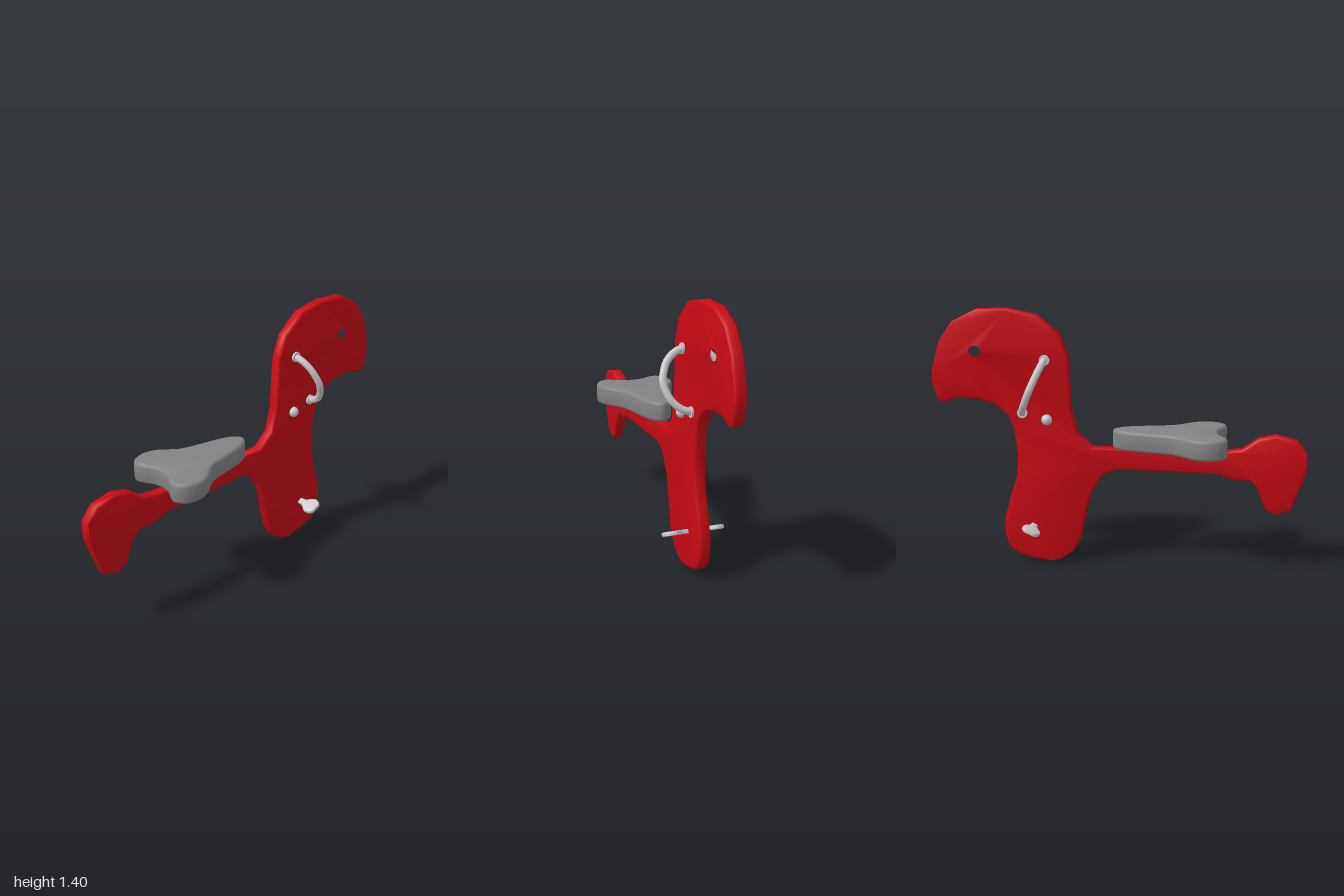
import * as THREE from 'three';
import { toCreasedNormals } from 'three/addons/utils/BufferGeometryUtils.js';

const red = new THREE.MeshStandardMaterial({ color: 0xc80a14 });
const darkGrey = new THREE.MeshStandardMaterial({ color: 0x848484 });
const grey = new THREE.MeshStandardMaterial({ color: 0xcccccc });

const toPoints = (pairs) => pairs.map(([x, y]) => new THREE.Vector2(x, y));

// Slab centred on its thickness, with rounded edges kept inside the outline
function slab(shape, thickness, bevel, segments, crease) {
  const depth = thickness - 2 * bevel;
  const geo = new THREE.ExtrudeGeometry(shape, {
    depth, curveSegments: 8, bevelThickness: bevel, bevelSize: bevel,
    bevelOffset: -bevel, bevelSegments: segments,
  });
  geo.translate(0, 0, -depth / 2);
  return toCreasedNormals(geo, crease);
}

// Closed smooth outline mirrored about y = 0 from its upper half
function mirroredShape(half, divisions) {
  const lower = half.filter(([, y]) => y !== 0).reverse().map(([x, y]) => [x, -y]);
  const curve = new THREE.CatmullRomCurve3(
    [...half, ...lower].map(([x, y]) => new THREE.Vector3(x, y, 0)), true);
  const pts = curve.getPoints(divisions).slice(0, -1);
  return new THREE.Shape(pts.map((p) => new THREE.Vector2(p.x, p.y)));
}

export function createModel() {
  const model = new THREE.Group();
  function add(name, geo, material, parent = model) {
    const mesh = new THREE.Mesh(geo, material);
    mesh.name = name;
    parent.add(mesh);
    return mesh;
  }

  // Flat animal-shaped board: tail, beam, neck, head, chest and foot
  const board = new THREE.Shape(toPoints([
    [-1, 0.66], [-0.94, 0.73], [-0.83, 0.755], [-0.74, 0.735], [-0.66, 0.675], [-0.57, 0.662],
    [0.14, 0.665], [0.22, 0.74], [0.25, 0.87], [0.265, 1.15], [0.31, 1.27], [0.43, 1.37],
    [0.59, 1.402], [0.75, 1.395], [0.88, 1.33], [0.955, 1.22], [0.998, 1.07], [1, 1.0],
    [0.975, 0.91], [0.945, 0.89], [0.865, 0.92], [0.76, 0.915], [0.67, 0.895], [0.59, 0.83],
    [0.56, 0.75], [0.545, 0.62], [0.55, 0.5], [0.595, 0.36], [0.625, 0.25], [0.63, 0.17],
    [0.61, 0.09], [0.57, 0.05], [0.5, 0.022], [0.37, 0], [0.32, 0.015], [0.25, 0.06],
    [0.21, 0.13], [0.15, 0.4], [0.08, 0.515], [0, 0.545], [-0.54, 0.535], [-0.61, 0.505],
    [-0.7, 0.505], [-0.74, 0.47], [-0.79, 0.345], [-0.85, 0.315], [-0.925, 0.345], [-1, 0.56],
  ]));
  // Eye hole
  const eye = new THREE.Path();
  eye.absellipse(0.76, 1.177, 0.047, 0.04, 0, Math.PI * 2, true);
  board.holes.push(eye);
  add('board', slab(board, 0.062, 0.013, 2, 0.85), red);

  // Saddle seat, narrow towards the neck and notched at the rear
  const seatShape = mirroredShape([
    [0.03, 0], [0.01, 0.035], [-0.04, 0.066], [-0.16, 0.095], [-0.29, 0.125], [-0.345, 0.16],
    [-0.4, 0.202], [-0.47, 0.221], [-0.545, 0.2], [-0.577, 0.15], [-0.56, 0.1],
    [-0.537, 0.06], [-0.527, 0],
  ], 66);
  const seatGeo = slab(seatShape, 0.11, 0.018, 3, 0.9);
  seatGeo.rotateX(Math.PI / 2);
  add('seat', seatGeo, darkGrey).position.y = 0.713;

  // Handle ring through the neck, leaning forward at the bottom
  const handle = new THREE.Group();
  handle.name = 'handle';
  handle.position.set(0.449, 0.992, 0);
  handle.rotation.z = 0.41;
  model.add(handle);
  const quarter = [[0.156, 0], [0.15, 0.035], [0.125, 0.095], [0.08, 0.138], [0.03, 0.156]];
  const half = [...quarter.map(([z, y]) => [z, -y]).reverse(), ...quarter.slice(1)];
  const loop = [...half, ...half.map(([z, y]) => [-z, -y])];
  const path = new THREE.CatmullRomCurve3(
    loop.map(([z, y]) => new THREE.Vector3(0, y, z)), true);
  add('handleRing', new THREE.TubeGeometry(path, 40, 0.019, 8, true), grey, handle);
  for (const y of [-0.156, 0.156]) {
    const collar = new THREE.CylinderGeometry(0.028, 0.028, 0.084, 12);
    collar.rotateX(Math.PI / 2);
    add('handleCollar', toCreasedNormals(collar, 0.7), grey, handle).position.y = y;
  }

  // Round knobs below the handle
  for (const side of [-1, 1]) {
    const knob = add('knob', new THREE.SphereGeometry(0.029, 14, 10), grey);
    knob.position.set(0.38, 0.814, side * 0.034);
  }

  // Flat footrest with a paddle on each side
  const footShape = mirroredShape([
    [0.02, 0], [0.021, 0.06], [0.036, 0.083], [0.05, 0.105], [0.048, 0.137],
    [0.028, 0.159], [0, 0.16], [-0.028, 0.159], [-0.048, 0.137], [-0.05, 0.105],
    [-0.036, 0.083], [-0.021, 0.06], [-0.02, 0],
  ], 48);
  const footGeo = slab(footShape, 0.022, 0.008, 2, 0.9);
  footGeo.rotateX(Math.PI / 2);
  const foot = add('footrest', footGeo, grey);
  foot.position.set(0.463, 0.213, 0);
  foot.rotation.z = 0.42;

  return model;
}
